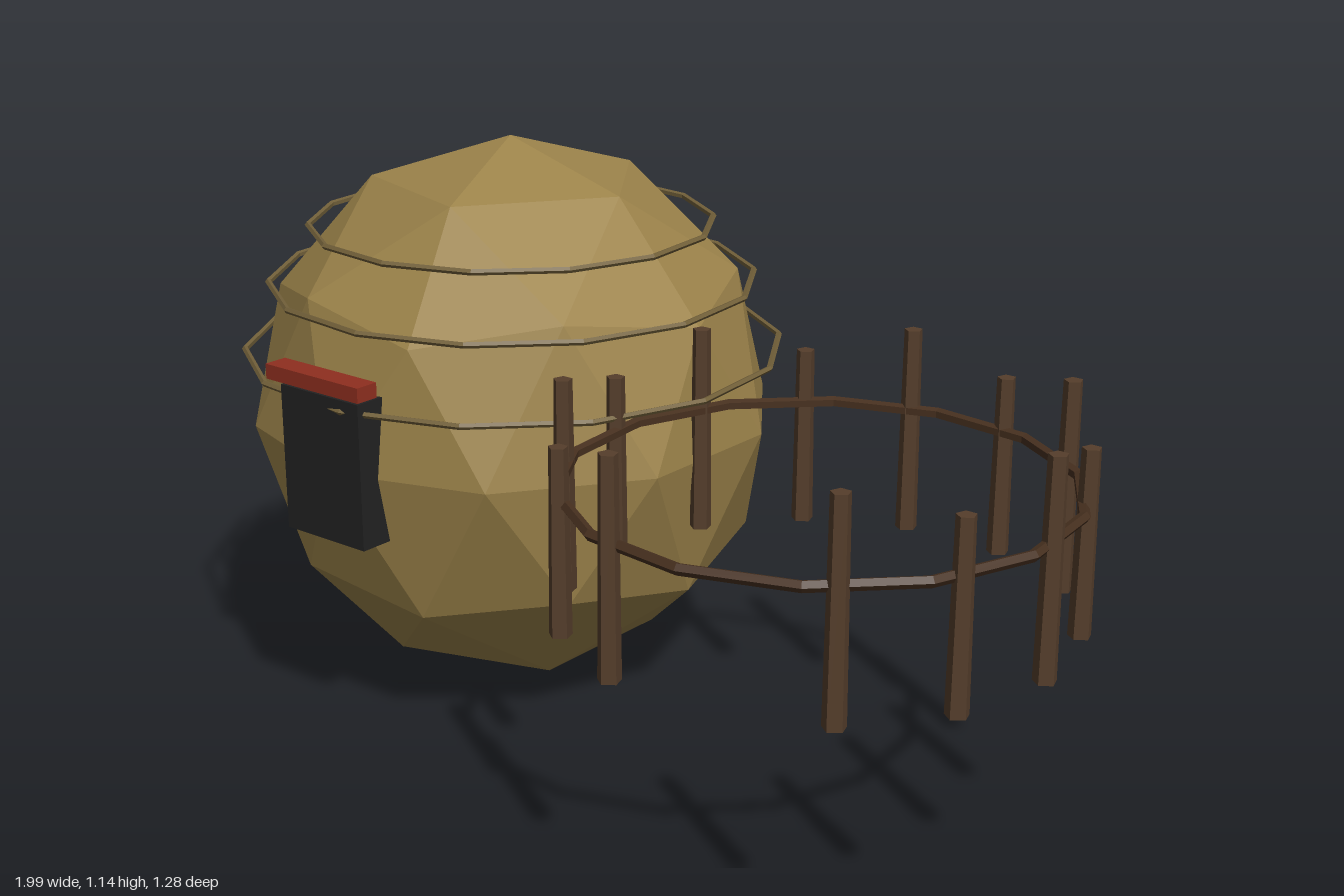
import * as THREE from 'three';

const mat = (name, color) => {
  const m = new THREE.MeshStandardMaterial({ color, flatShading: true });
  m.name = name;
  return m;
};

export function createModel() {
  const straw = mat('straw', 0x9c834a);
  const rope = mat('rope', 0x73613a);
  const wood = mat('wood', 0x553e2b);
  const darkWood = mat('dark wood', 0x47301f);
  const doorBlack = mat('door black', 0x222222);
  const red = mat('red', 0x8f2f1f);

  const model = new THREE.Group();
  const add = (parent, name, geometry, material, x, y, z) => {
    const mesh = new THREE.Mesh(geometry, material);
    mesh.name = name;
    mesh.position.set(x, y, z);
    parent.add(mesh);
    return mesh;
  };

  // Horizontal hoop with 14 straight sections
  const hoop = (radius, tube) =>
    new THREE.TorusGeometry(radius, tube, 5, 14)
      .rotateX(Math.PI / 2)
      .rotateY(-THREE.MathUtils.degToRad(7));

  // Straw ball, turned so that a five-sided point is on top
  const hut = new THREE.Group();
  hut.name = 'hut';
  hut.position.set(-0.44, 0, -0.085);
  model.add(hut);
  const ball = new THREE.IcosahedronGeometry(1, 1)
    .rotateZ(-Math.atan(2 / (1 + Math.sqrt(5))))
    .scale(0.543, 0.572, 0.543);
  ball.computeVertexNormals();
  add(hut, 'strawBall', ball, straw, 0, 0.574, 0);

  // Binding ropes
  [[0.97, 0.414], [0.853, 0.5], [0.712, 0.555]].forEach(([y, r]) =>
    add(hut, 'bindingRope', hoop(r, 0.0065), rope, 0, y, 0));

  // Door and lintel
  add(hut, 'door', new THREE.BoxGeometry(0.21, 0.295, 0.07), doorBlack, 0, 0.588, 0.519);
  add(hut, 'lintel', new THREE.BoxGeometry(0.25, 0.03, 0.05), red, 0, 0.762, 0.547);

  // Round pen: alternating tall and short posts, with one left out as a gate
  const pen = new THREE.Group();
  pen.name = 'pen';
  pen.position.set(0.505, 0.44, 0.16);
  model.add(pen);
  for (let i = 0; i < 14; i++) {
    if (i === 3) continue;
    const a = (i / 14) * Math.PI * 2;
    const h = i % 2 ? 0.35 : 0.405;
    add(pen, 'post', new THREE.CylinderGeometry(0.018, 0.022, h, 5), wood,
      Math.cos(a) * 0.467, h / 2, Math.sin(a) * 0.467);
  }
  add(pen, 'rail', hoop(0.467, 0.011), darkWood, 0, 0.245, 0);

  return model;
}
